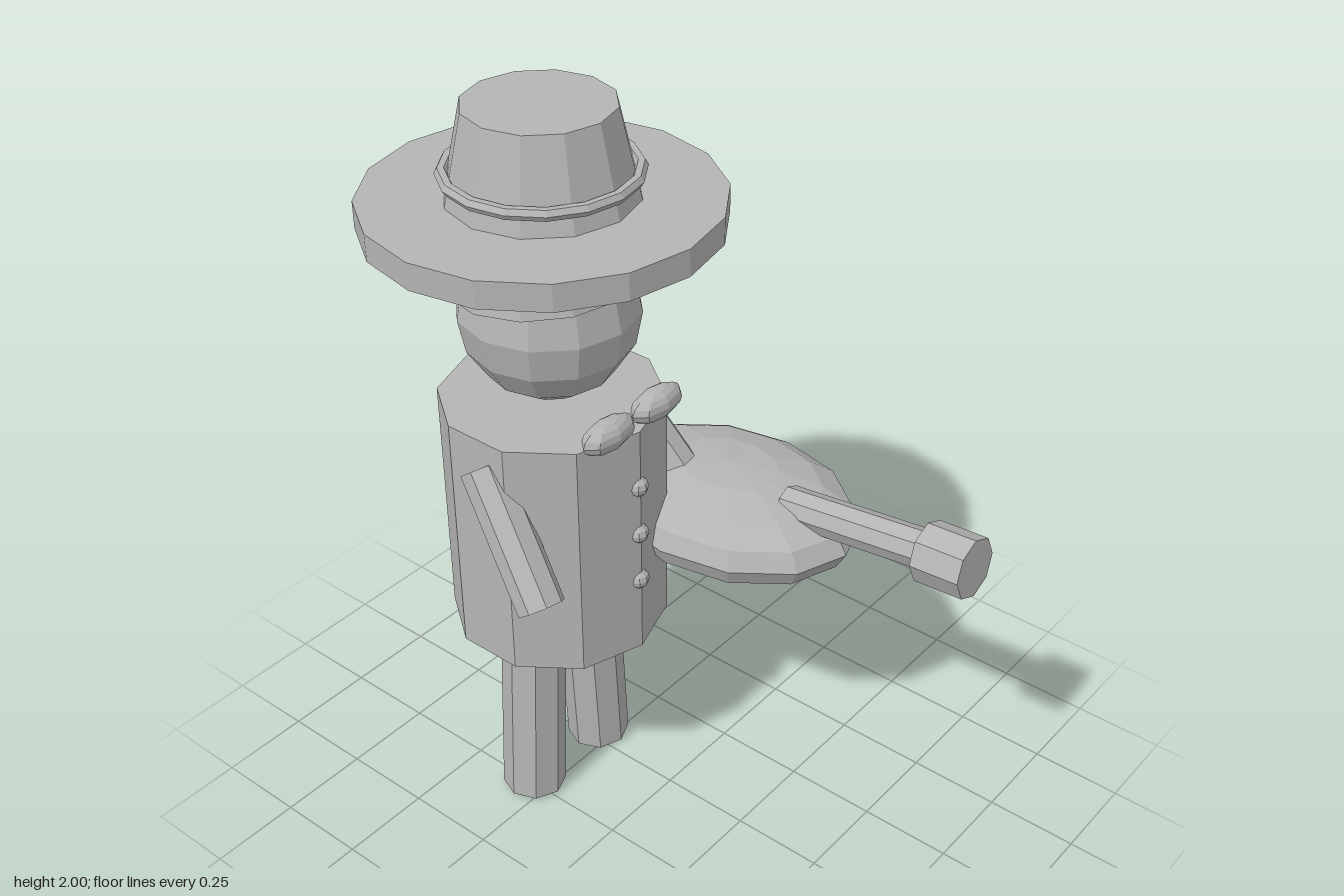
import * as THREE from 'three';

export function createModel() {
  const model = new THREE.Group();
  const grey = new THREE.MeshStandardMaterial({ color: 0xb4b4b4, flatShading: true, side: THREE.DoubleSide });
  grey.name = 'plain grey';

  const cx = -0.1, cz = -0.3; // axis of the figure

  const add = (name, geometry, x, y, z) => {
    const mesh = new THREE.Mesh(geometry, grey);
    mesh.name = name;
    mesh.position.set(x, y, z);
    model.add(mesh);
    return mesh;
  };

  // Cylinder running between two points
  const rod = (name, from, to, radius, sides) => {
    const a = new THREE.Vector3(...from), b = new THREE.Vector3(...to);
    const dir = b.clone().sub(a);
    const mid = a.clone().add(b).multiplyScalar(0.5);
    const mesh = add(name, new THREE.CylinderGeometry(radius, radius, dir.length(), sides), mid.x, mid.y, mid.z);
    mesh.quaternion.setFromUnitVectors(new THREE.Vector3(0, 1, 0), dir.normalize());
    return mesh;
  };

  const ellipsoid = (name, rx, ry, rz, x, y, z, w = 12, h = 8) =>
    add(name, new THREE.SphereGeometry(1, w, h).scale(rx, ry, rz), x, y, z);

  // Coat
  add('torso', new THREE.CylinderGeometry(0.288, 0.288, 0.67, 10), cx, 0.893, cz);

  // Head and hair cap, the cap dipping slightly at the back
  ellipsoid('head', 0.23, 0.237, 0.23, cx, 1.48, cz + 0.005);
  const hair = add('hair',
    new THREE.SphereGeometry(0.237, 12, 6, 0, Math.PI * 2, 0, Math.PI / 2).scale(1, 0.68, 1),
    cx, 1.55, cz - 0.012);
  hair.rotation.x = -0.07;

  // Hat
  add('hatBrim', new THREE.CylinderGeometry(0.44, 0.44, 0.07, 16), cx, 1.74, cz);
  add('hatCrown', new THREE.CylinderGeometry(0.185, 0.242, 0.25, 12), cx, 1.875, cz);
  add('hatBand', new THREE.TorusGeometry(0.232, 0.016, 6, 16).rotateX(Math.PI / 2), cx, 1.835, cz);

  // Legs and arms, mirrored about the figure's axis
  for (const s of [-1, 1]) {
    const side = s > 0 ? 'left' : 'right';
    rod(side + 'Leg', [cx + s * 0.137, 0.004, cz], [cx + s * 0.105, 0.6, cz], 0.087, 8);
    rod(side + 'Arm', [cx + s * 0.25, 1.133, cz], [cx + s * 0.305, 0.84, cz + 0.225], 0.062, 8);
    ellipsoid(side + 'BowLoop', 0.09, 0.041, 0.041, cx + 0.003 + s * 0.09, 1.256, -0.037, 8, 8)
      .geometry.rotateZ(0);
  }

  // Coat buttons
  for (const y of [1.063, 0.92, 0.775]) ellipsoid('button', 0.028, 0.028, 0.028, cx + 0.002, y, -0.023, 8, 6);

  // Stringed instrument held at the left side
  ellipsoid('instrumentBody', 0.285, 0.131, 0.38, 0.25, 0.832, -0.005);
  rod('instrumentNeck', [0.25, 0.91, 0.19], [0.25, 0.963, 0.62], 0.052, 8);
  rod('instrumentHead', [0.25, 0.961, 0.607], [0.25, 0.97, 0.742], 0.081, 8);

  return model;
}
